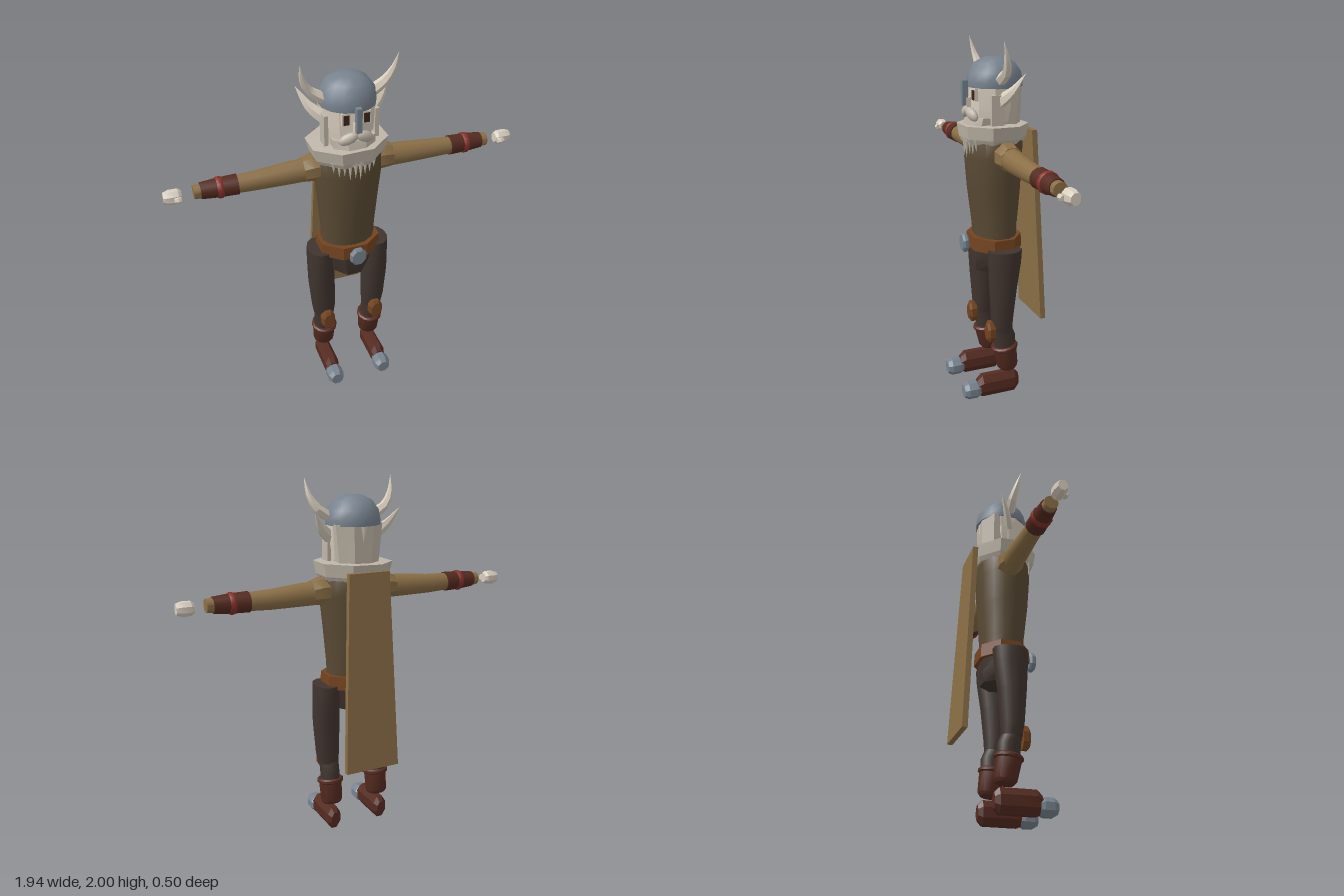
import * as THREE from 'three';
import { toCreasedNormals } from 'three/addons/utils/BufferGeometryUtils.js';

const mat = (name, color) => {
  const m = new THREE.MeshStandardMaterial({ color });
  m.name = name;
  return m;
};

// Closed solid from rings [y, centreX, centreZ, radiusX, radiusZ], listed upwards
function loft(rings, n = 12, crease = 0.7) {
  const pos = [], idx = [], k = 1 / Math.cos(Math.PI / n);
  for (const [y, cx, cz, rx, rz] of rings) {
    for (let i = 0; i < n; i++) {
      const a = ((i + 0.5) / n) * Math.PI * 2;
      pos.push(cx + Math.cos(a) * rx * k, y, cz + Math.sin(a) * rz * k);
    }
  }
  const last = rings.length - 1;
  for (let j = 0; j < last; j++) {
    for (let i = 0; i < n; i++) {
      const a = j * n + i, b = j * n + ((i + 1) % n);
      idx.push(a, a + n, b, b, a + n, b + n);
    }
  }
  const bottom = pos.length / 3, top = bottom + 1;
  for (const r of [rings[0], rings[last]]) pos.push(r[1], r[0], r[2]);
  for (let i = 0; i < n; i++) {
    const j = (i + 1) % n;
    idx.push(bottom, i, j, top, last * n + j, last * n + i);
  }
  const g = new THREE.BufferGeometry();
  g.setAttribute('position', new THREE.Float32BufferAttribute(pos, 3));
  g.setIndex(idx);
  return toCreasedNormals(g, crease);
}

// Tapered, curved spike through the given points
function horn(points, radius, flatten = 1, steps = 6, sides = 6) {
  const curve = new THREE.CatmullRomCurve3(points.map((p) => new THREE.Vector3(...p)));
  const g = new THREE.TubeGeometry(curve, steps, radius, sides);
  const p = g.attributes.position, v = new THREE.Vector3();
  for (let i = 0; i < p.count; i++) {
    const t = Math.floor(i / (sides + 1)) / steps, c = curve.getPointAt(t);
    v.fromBufferAttribute(p, i).sub(c).multiplyScalar(1 - t ** 1.5);
    v.z *= flatten;
    v.add(c);
    p.setXYZ(i, v.x, v.y, v.z);
  }
  return toCreasedNormals(g, 0.3);
}

export function createModel() {
  const root = new THREE.Group();
  root.name = 'hornedWarrior';
  const M = {
    cloth: mat('tan cloth', 0x8b6f47),
    tunic: mat('dark tunic', 0x5a4a34),
    belt: mat('belt leather', 0x74431f),
    leather: mat('dark leather', 0x552b21),
    red: mat('red band', 0x85302a),
    trousers: mat('trousers', 0x40342f),
    metal: mat('steel', 0x77828e),
    skin: mat('pale skin', 0xd8cdbd),
    fur: mat('fur and beard', 0xbfb6a8),
    eye: mat('eyes', 0x3c2620),
  };
  const add = (name, geometry, material, parent = root) => {
    const m = new THREE.Mesh(geometry, material);
    m.name = name;
    parent.add(m);
    return m;
  };
  const box = (w, h, d, x, y, z) => new THREE.BoxGeometry(w, h, d).translate(x, y, z);

  // Body
  add('tunic', loft([
    [0.92, 0, 0.005, 0.148, 0.115], [1.0, 0, 0.006, 0.15, 0.12], [1.2, 0, 0.01, 0.165, 0.14],
    [1.38, 0, 0.012, 0.183, 0.15], [1.47, 0, 0.01, 0.18, 0.15], [1.52, 0, 0.01, 0.14, 0.12],
  ], 14), M.tunic);
  add('hips', loft([[0.73, 0, 0.01, 0.095, 0.115], [0.79, 0, 0.01, 0.12, 0.125],
    [0.88, 0, 0.01, 0.15, 0.12]], 8), M.trousers);
  add('belt', loft([[0.86, 0, 0.008, 0.172, 0.14], [0.935, 0, 0.008, 0.168, 0.136]], 8, 0.3), M.belt);
  add('buckle', loft([[-0.018, 0, 0, 0.036, 0.042], [-0.008, 0, 0, 0.045, 0.052],
    [0.008, 0, 0, 0.045, 0.052], [0.018, 0, 0, 0.036, 0.042]], 8, 0.3)
    .rotateX(Math.PI / 2).translate(0, 0.895, 0.182), M.metal);

  // Cape: a slab that widens and swings backwards towards the hem
  const cape = new THREE.BoxGeometry(2, 1.095, 0.03);
  const cp = cape.attributes.position;
  for (let i = 0; i < cp.count; i++) {
    const t = 0.5 - cp.getY(i) / 1.095;
    cp.setX(i, cp.getX(i) * (0.118 + 0.042 * t));
    cp.setZ(i, cp.getZ(i) - 0.182 - 0.053 * t);
  }
  cape.translate(0, 0.973, 0).computeVertexNormals();
  add('cape', cape, M.cloth);

  // Fur collar, slightly lopsided
  add('furCollar', loft([[1.46, 0, 0.012, 0.172, 0.155], [1.485, 0, 0.012, 0.188, 0.165],
    [1.555, 0, 0.012, 0.205, 0.175], [1.56, 0, 0.012, 0.13, 0.12]], 8, 0.2)
    .rotateZ(0.03).translate(0.04, 0, 0), M.fur);

  // Head
  const head = new THREE.Group();
  head.name = 'head';
  root.add(head);
  add('face', loft([[1.5, 0, 0.01, 0.11, 0.11], [1.58, 0, 0.015, 0.12, 0.125],
    [1.65, 0, 0.01, 0.132, 0.13], [1.77, 0, 0.005, 0.138, 0.135]], 10, 0.5), M.skin, head);
  add('backHair', loft([[1.53, 0, -0.04, 0.115, 0.085], [1.76, 0, -0.04, 0.137, 0.09]], 8, 0.3), M.fur, head);
  add('noseBridge', box(0.036, 0.07, 0.03, 0, 1.665, 0.15), M.skin, head);
  add('beard', loft([[1.47, 0, 0.1, 0.07, 0.075], [1.54, 0, 0.09, 0.11, 0.08],
    [1.6, 0, 0.08, 0.115, 0.072]], 8, 0.3), M.fur, head);
  for (const s of [1, -1]) {
    const moustache = add('moustache', new THREE.IcosahedronGeometry(1, 1).scale(0.055, 0.03, 0.025), M.fur, head);
    moustache.position.set(s * 0.045, 1.615, 0.148);
    moustache.rotation.set(0, s * 0.25, -s * 0.45);
    add('sideLock', box(0.022, 0.2, 0.07, s * 0.137, 1.62, 0.04), M.fur, head);
    add('eyeSocket', box(0.045, 0.065, 0.02, s * 0.054, 1.718, 0.131), M.skin, head);
    add('eye', box(0.03, 0.05, 0.008, s * 0.054, 1.716, 0.143), M.eye, head);
    add('ear', horn([[s * 0.115, 1.68, 0.02], [s * 0.19, 1.74, -0.02], [s * 0.25, 1.84, -0.07]],
      0.04, 0.6), M.skin, head);
    add('helmetHorn', horn([[s * 0.12, 1.79, 0.02], [s * 0.2, 1.84, 0.015],
      [s * 0.24, 1.91, 0.03], [s * 0.255, 2.0, 0.052]], 0.032), M.skin, head);
  }
  // Ragged beard tips hanging over the chest
  for (let i = 0; i < 9; i++) {
    const x = -0.12 + i * 0.027, len = 0.06 + 0.035 * Math.sin(Math.PI * i / 8) + (i % 2) * 0.015;
    add('beardTip', new THREE.ConeGeometry(0.014, len, 4).rotateX(Math.PI)
      .translate(x, 1.485 - len / 2, 0.172 - Math.abs(x) * 0.3), M.fur, head);
  }

  // Helmet
  add('helmet', loft([[1.752, 0, 0.003, 0.146, 0.146], [1.78, 0, 0.003, 0.147, 0.147],
    [1.83, 0, 0.003, 0.137, 0.137], [1.875, 0, 0.003, 0.105, 0.105],
    [1.902, 0, 0.003, 0.055, 0.055], [1.907, 0, 0.003, 0.01, 0.01]], 14), M.metal, head);
  add('noseGuard', box(0.028, 0.13, 0.03, 0, 1.722, 0.172), M.metal, head);

  // Limbs, built once per side
  for (const s of [1, -1]) {
    const side = s > 0 ? 'left' : 'right';
    const arm = new THREE.Group();
    arm.name = side + 'Arm';
    arm.position.set(0, 1.388, 0.003);
    root.add(arm);
    const alongX = (name, rings, n, m, crease) =>
      add(name, loft(rings.map(([x, dy, z, ry, rz]) => [x, -s * dy, z, ry, rz]), n, crease)
        .rotateZ(-s * Math.PI / 2), m, arm);
    alongX('shoulder', [[0.14, 0.018, 0, 0.07, 0.065], [0.2, 0.018, 0, 0.07, 0.068],
      [0.25, 0.012, 0, 0.061, 0.058]], 8, M.cloth, 0.3);
    alongX('sleeve', [[0.2, 0.01, 0, 0.062, 0.058], [0.3, 0.008, 0, 0.06, 0.06],
      [0.48, 0, 0, 0.052, 0.05], [0.6, 0, 0.003, 0.047, 0.046], [0.82, 0, 0.005, 0.035, 0.036]], 12, M.cloth);
    alongX('wristWrap', [[0.595, 0, 0.003, 0.053, 0.054], [0.7, 0, 0.003, 0.05, 0.05],
      [0.785, 0, 0.004, 0.042, 0.043]], 12, M.leather);
    alongX('redBand', [[0.672, 0, 0.003, 0.052, 0.052], [0.68, 0, 0.003, 0.056, 0.056],
      [0.695, 0, 0.003, 0.056, 0.056], [0.703, 0, 0.003, 0.052, 0.052]], 12, M.red);
    alongX('hand', [[0.88, -0.004, 0.006, 0.026, 0.024], [0.895, -0.004, 0.006, 0.036, 0.033],
      [0.94, -0.004, 0.006, 0.037, 0.034], [0.97, -0.004, 0.006, 0.028, 0.024]], 8, M.skin, 0.4);
    alongX('thumb', [[0.885, -0.008, 0.042, 0.012, 0.013], [0.9, -0.008, 0.044, 0.016, 0.015],
      [0.92, -0.008, 0.042, 0.012, 0.012]], 6, M.skin, 0.4);

    const leg = new THREE.Group();
    leg.name = side + 'Leg';
    leg.position.x = s * 0.15;
    root.add(leg);
    const o = s * 0.015;
    add('thigh', loft([[0.4, s * 0.002, 0.015, 0.058, 0.055], [0.46, s * 0.004, 0.018, 0.066, 0.06],
      [0.65, o * 0.8, 0.015, 0.074, 0.075], [0.8, o, 0.008, 0.072, 0.09],
      [0.88, o, 0.005, 0.07, 0.093]], 12), M.trousers, leg);
    add('shin', loft([[0.27, -s * 0.003, -0.003, 0.055, 0.058], [0.36, 0, 0, 0.053, 0.06],
      [0.41, 0, 0.015, 0.055, 0.054]], 12), M.trousers, leg);
    add('kneePad', loft([[-0.02, 0, 0, 0.04, 0.062], [0.01, 0, 0, 0.04, 0.062],
      [0.022, 0, 0, 0.028, 0.045]], 8, 0.3)
      .rotateX(Math.PI / 2).translate(0, 0.397, 0.088), M.belt, leg);

    // Boot shaft leans back towards the ankle
    const shaft = new THREE.Group();
    shaft.name = 'bootShaft';
    shaft.position.set(-s * 0.003, 0.225, -0.01);
    shaft.rotation.x = 0.16;
    leg.add(shaft);
    add('bootLeg', loft([[-0.072, 0, 0, 0.05, 0.045], [-0.055, 0, 0, 0.06, 0.058],
      [0.07, 0, 0, 0.064, 0.068]], 12), M.leather, shaft);
    add('bootCuff', loft([[0.052, 0, 0, 0.066, 0.068], [0.058, 0, 0, 0.073, 0.075],
      [0.072, 0, 0, 0.073, 0.075], [0.08, 0, 0, 0.064, 0.066]], 12), M.leather, shaft);

    // Foot pieces run along z; the second radius is vertical
    const alongZ = (name, rings, m) =>
      add(name, loft(rings.map(([z, y, rx, ry]) => [z, 0, -y, rx, ry]), 8, 0.35)
        .rotateX(Math.PI / 2), m, leg);
    alongZ('foot', [[-0.08, 0.067, 0.025, 0.04], [-0.055, 0.067, 0.04, 0.066],
      [0.14, 0.067, 0.042, 0.066], [0.17, 0.06, 0.034, 0.045]], M.leather);
    alongZ('toeCap', [[0.155, 0.05, 0.038, 0.04], [0.175, 0.05, 0.046, 0.049],
      [0.225, 0.05, 0.046, 0.049], [0.25, 0.05, 0.034, 0.035]], M.metal);
  }
  return root;
}
